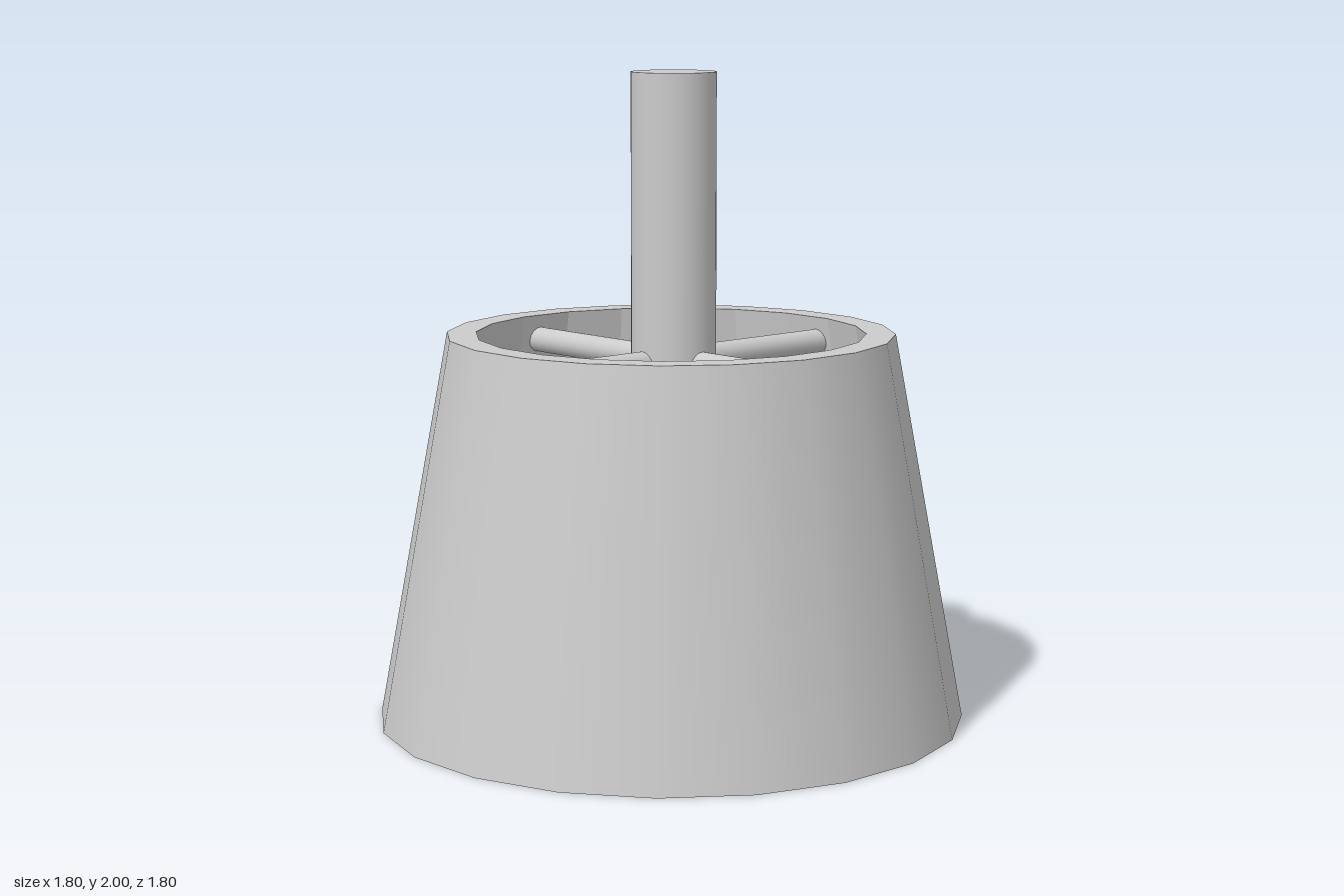
import * as THREE from 'three';

const SIDES = 20;
const START = Math.PI / SIDES;
const HEIGHT = 1.2;
const OUTER = { top: 0.69, bottom: 0.91 };
const INNER = { top: 0.6, bottom: 0.79 };

export function createModel() {
  const group = new THREE.Group();
  const grey = new THREE.MeshStandardMaterial({ color: 0xcccccc });
  const insideGrey = new THREE.MeshStandardMaterial({ color: 0xcccccc, flatShading: true, side: THREE.BackSide });

  const add = (name, geometry, x, y, z, material = grey, parent = group) => {
    const mesh = new THREE.Mesh(geometry, material);
    mesh.name = name;
    mesh.position.set(x, y, z);
    parent.add(mesh);
    return mesh;
  };

  // Thick conical shade: smooth outside, faceted inside, flat rims
  const shade = new THREE.Group();
  shade.name = 'shade';
  group.add(shade);
  const wall = (r) => new THREE.CylinderGeometry(r.top, r.bottom, HEIGHT, SIDES, 1, true, START);
  add('shadeOutside', wall(OUTER), 0, HEIGHT / 2, 0, grey, shade);
  add('shadeInside', wall(INNER), 0, HEIGHT / 2, 0, insideGrey, shade);
  const rim = (key) => new THREE.RingGeometry(INNER[key], OUTER[key], SIDES, 1, START);
  add('topRim', rim('top').rotateX(-Math.PI / 2), 0, HEIGHT, 0, grey, shade);
  add('bottomRim', rim('bottom').rotateX(Math.PI / 2), 0, 0, 0, grey, shade);

  // Stem and bulb, slightly off the shade's axis
  const cx = -0.02, cz = 0.035;
  add('stem', new THREE.CylinderGeometry(0.13, 0.13, 1.06, 32), cx, 1.47, cz);
  add('bulb', new THREE.SphereGeometry(0.17, 16, 12), cx, 0.87, cz);

  // Four spokes from the stem to the shade wall
  const spokeY = 1.12, reach = 0.62;
  for (let i = 0; i < 4; i++) {
    const angle = i * Math.PI / 2;
    const dx = Math.cos(angle), dz = Math.sin(angle);
    const length = reach - dx * cx - dz * cz;
    const geometry = new THREE.CylinderGeometry(0.04, 0.04, length, 16);
    geometry.rotateZ(-Math.PI / 2).rotateY(-angle);
    add('spoke', geometry, cx + dx * length / 2, spokeY, cz + dz * length / 2);
  }
  return group;
}
